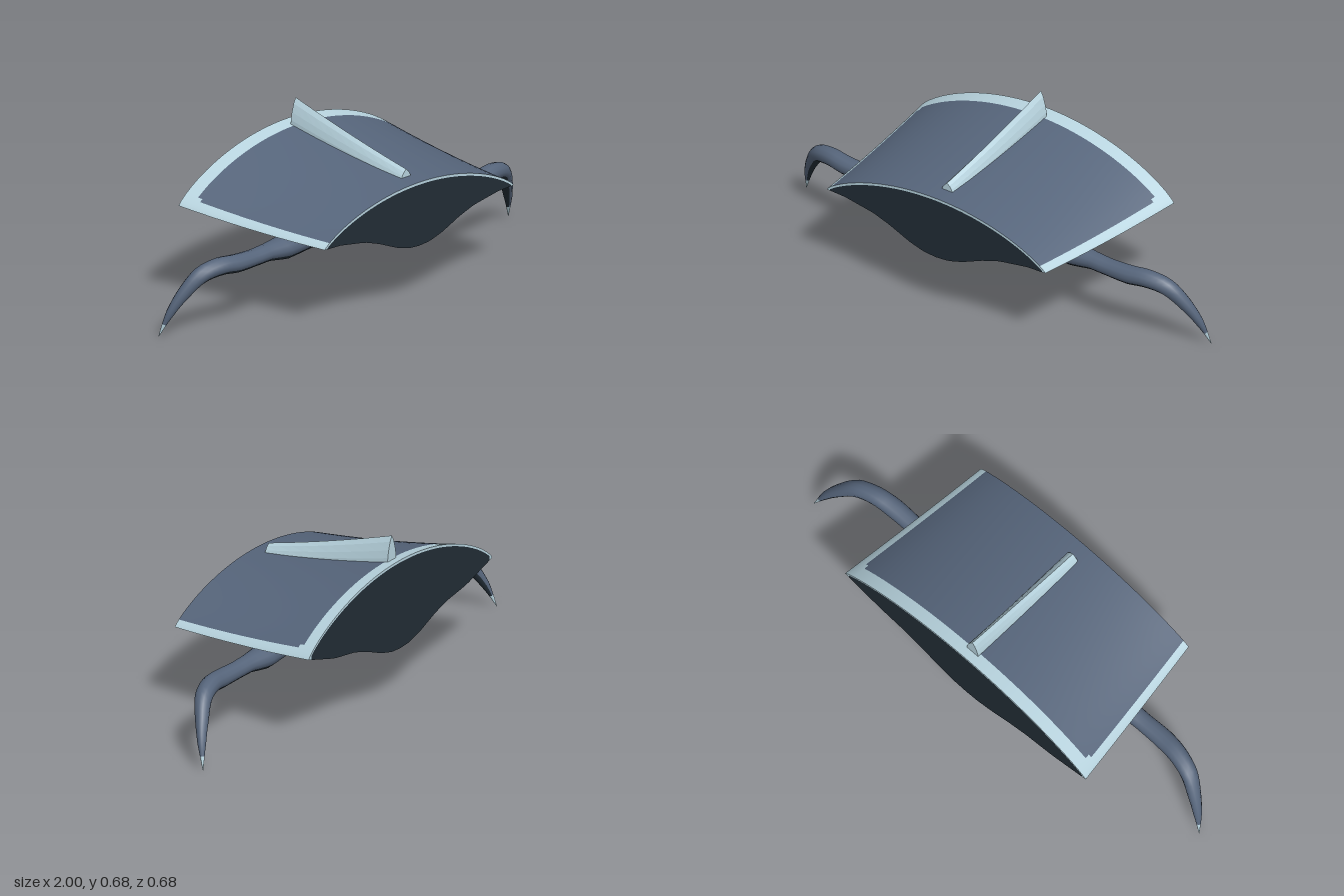
import * as THREE from 'three';
import { mergeVertices } from 'three/addons/utils/BufferGeometryUtils.js';

const paint = (name, color) => {
  const m = new THREE.MeshStandardMaterial({ color });
  m.name = name;
  return m;
};

// Surface through rows of points; pick(i, j) gives the material index of each cell
function sheet(name, rows, mats, pick, { flip = false, flat = false } = {}) {
  const n = rows[0].length;
  const lists = mats.map(() => []);
  for (let i = 0; i < rows.length - 1; i++) {
    for (let j = 0; j < n - 1; j++) {
      const a = i * n + j, b = a + 1, c = b + n, d = a + n;
      lists[pick(i, j)].push(...(flip ? [a, c, b, a, d, c] : [a, b, c, a, c, d]));
    }
  }
  let geo = new THREE.BufferGeometry();
  geo.setAttribute('position', new THREE.Float32BufferAttribute(rows.flat(2), 3));
  geo.setIndex(lists.flat());
  let start = 0;
  lists.forEach((l, k) => {
    if (l.length) geo.addGroup(start, l.length, k);
    start += l.length;
  });
  geo = mergeVertices(geo, 1e-5);
  if (flat) {
    const groups = geo.groups;
    geo = geo.toNonIndexed();
    geo.groups = groups;
  }
  geo.computeVertexNormals();
  const mesh = new THREE.Mesh(geo, mats);
  mesh.name = name;
  return mesh;
}

// Body rules along z
const Z = 0.34, RIM_Z = -0.285;
const halfWidth = z => 0.5825 - 0.125 * z;
const crestY = z => 0.522 - 0.162 * z + 0.095 * z * z;
const edgeY = z => 0.352 - 0.0735 * z + 0.069 * z * z;
const shellY = (t, z) =>
  edgeY(z) + (crestY(z) - edgeY(z)) * Math.pow(Math.max(0, 1 - t * t), 0.8);

// Underside: a rounded keel with thin wings reaching the shell edge
function underY(t, z) {
  const x = Math.abs(t) * halfWidth(z);
  const p = [[0, 0.222], [0.06, 0.226], [0.13, 0.245], [0.23, 0.285], [0.31, 0.31],
    [0.45, 0.332], [halfWidth(z), edgeY(z)]];
  let k = 0;
  while (k < p.length - 2 && x > p[k + 1][0]) k++;
  const f = Math.min(1, (x - p[k][0]) / (p[k + 1][0] - p[k][0]));
  return p[k][1] + f * (p[k + 1][1] - p[k][1]);
}

export function createModel() {
  const slate = paint('slate shell', 0x56657b);
  const pale = paint('pale blue trim', 0xb8d4df);
  const dark = paint('dark underside', 0x222d36);
  const mats = [slate, pale, dark];
  const model = new THREE.Group();
  model.name = 'armoredBodySegment';

  // Column and row positions, with lines on the colour borders
  const half = [0.93, 0.95, 0.97, 0.985, 0.995, 1];
  for (let i = 1; i < 20; i++) half.push(i * 0.0465);
  half.sort((a, b) => a - b);
  const ts = [...half.map(t => -t).reverse(), 0, ...half];
  const zs = [RIM_Z, -0.31, -Z];
  for (let i = 0; i <= 14; i++) zs.unshift(Z - (Z + 0.265) * i / 14);
  zs.sort((a, b) => b - a);

  const line = (z, yAt) => ts.map(t => [t * halfWidth(z), yAt(t, z), z]);
  const midT = j => Math.abs(ts[j] + ts[j + 1]) / 2;

  // Upper shell with pale side and rear borders, rounded where they meet
  model.add(sheet('upperShell', zs.map(z => line(z, shellY)), mats, (i, j) => {
    const mz = (zs[i] + zs[i + 1]) / 2, t = midT(j);
    return mz < RIM_Z || t > 0.95 || (t > 0.93 && mz < -0.265) ? 1 : 0;
  }));
  model.add(sheet('underside', zs.map(z => line(z, underY)), mats,
    (i, j) => (midT(j) > 0.97 ? 1 : 2), { flip: true }));

  // Flat ends, each with a thin pale rim below the shell
  const rimY = (t, z) => Math.max(underY(t, z), shellY(t, z) - 0.01);
  for (const [name, z] of [['frontFace', Z], ['rearFace', -Z]]) {
    model.add(sheet(name, [line(z, underY), line(z, rimY), line(z, shellY)], mats,
      (i, j) => (i === 1 || midT(j) > 0.965 ? 1 : 2), { flip: z < 0 }));
  }

  // Dorsal spine: a pointed arch swept along the crest
  const spine = new THREE.Group();
  spine.name = 'dorsalSpine';
  const arch = [[-0.03, 0], [-0.028, 0.3], [-0.022, 0.55], [-0.012, 0.82], [0, 1],
    [0.012, 0.82], [0.022, 0.55], [0.028, 0.3], [0.03, 0]];
  const archAt = (z, k = 1) => {
    const base = crestY(z) - 0.02;
    const top = 0.588 - 0.284 * z + 0.075 * z * z;
    return arch.map(([x, f]) => [x, base + k * f * (top - base), z]);
  };
  const spineRows = [];
  for (let i = 0; i <= 10; i++) spineRows.push(archAt(0.272 - 0.572 * i / 10));
  spine.add(sheet('spineSides', spineRows, mats, () => 1, { flat: true }));
  for (const z of [0.272, -0.3]) {
    spine.add(sheet('spineEnd', [archAt(z, 0), archAt(z)], mats, () => 1,
      { flip: z < 0, flat: true }));
  }
  model.add(spine);

  // Legs: x, y, z, radius stations, ending in a curved claw
  const stations = [
    [0.12, 0.238, 0.015, 0.015], [0.2, 0.255, 0.015, 0.038], [0.28, 0.255, 0.015, 0.043],
    [0.42, 0.247, 0.015, 0.046], [0.52, 0.25, 0.018, 0.034], [0.6, 0.248, 0.02, 0.033],
    [0.7, 0.25, 0.02, 0.036], [0.78, 0.255, 0.01, 0.035], [0.86, 0.235, -0.012, 0.033],
    [0.92, 0.17, -0.045, 0.026], [0.965, 0.095, -0.075, 0.017], [1, 0, -0.105, 0.001]];
  const path = new THREE.CatmullRomCurve3(stations.map(s => new THREE.Vector3(s[0], s[1], s[2])));
  const RINGS = 44, SIDES = 12;
  for (const side of [1, -1]) {
    const rows = [], centreY = [];
    for (let i = 0; i <= RINGS; i++) {
      const u = i / RINGS, c = path.getPoint(u), T = path.getTangent(u);
      const S = new THREE.Vector3(0, 0, 1).addScaledVector(T, -T.z).normalize();
      const U = S.clone().cross(T);
      const f = u * (stations.length - 1), k = Math.min(stations.length - 2, Math.floor(f));
      const r = THREE.MathUtils.lerp(stations[k][3], stations[k + 1][3], f - k);
      const wide = 1 + 0.3 * Math.max(0, 1 - u * 1.1);
      centreY.push(c.y);
      rows.push(Array.from({ length: SIDES + 1 }, (_, j) => {
        const a = (j % SIDES) / SIDES * Math.PI * 2;
        const p = c.clone().addScaledVector(S, Math.cos(a) * r * wide)
          .addScaledVector(U, Math.sin(a) * r);
        return [p.x * side, p.y, p.z];
      }));
    }
    model.add(sheet(side > 0 ? 'leftLeg' : 'rightLeg', rows, mats, (i, j) => {
      if (centreY[i] < 0.065) return 1;
      return Math.sin((j + 0.5) / SIDES * Math.PI * 2) < -0.3 ? 2 : 0;
    }, { flip: side > 0 }));
  }
  return model;
}
